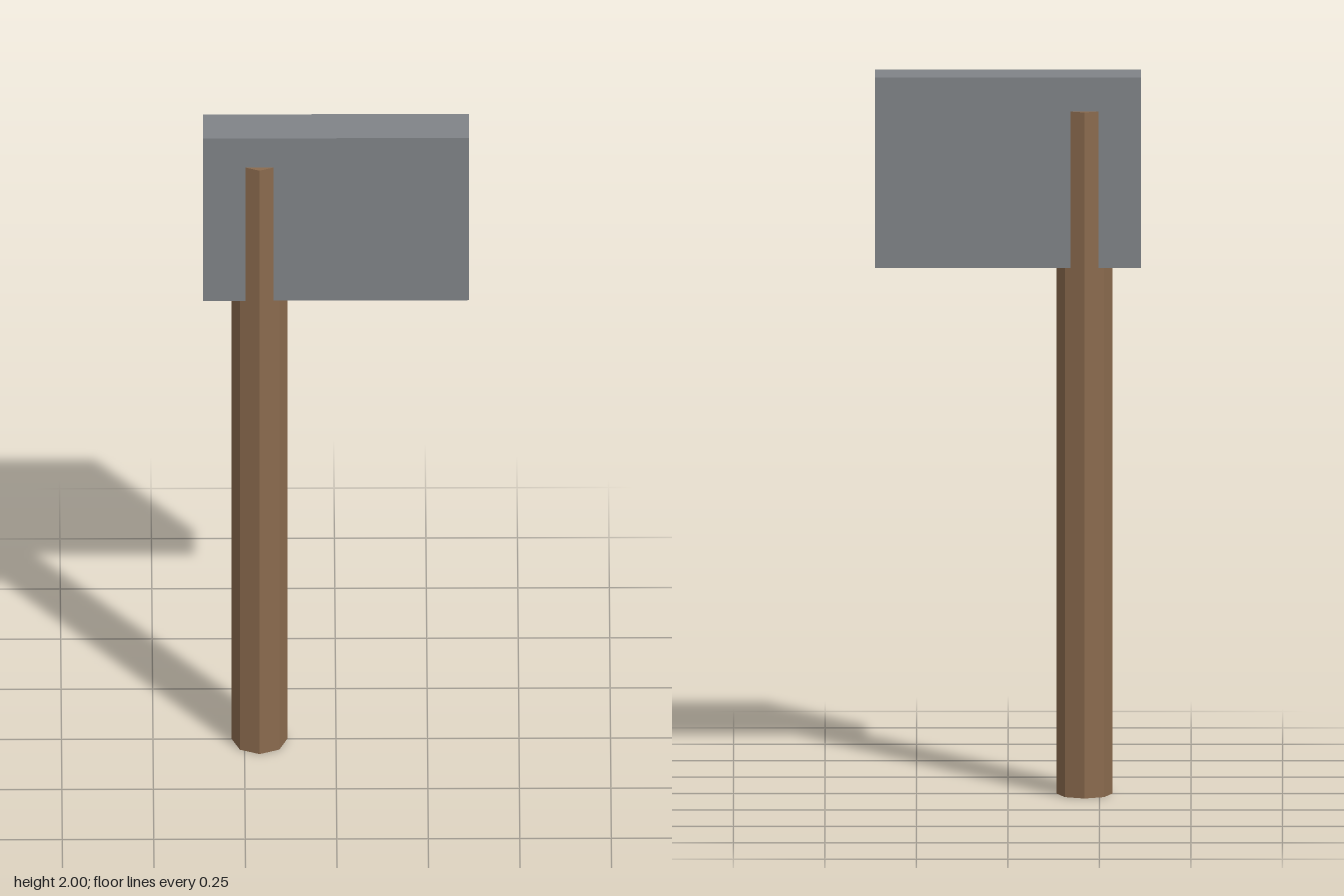
import * as THREE from 'three';

export function createModel() {
  const group = new THREE.Group();

  const addPart = (name, geometry, color, x, y) => {
    const material = new THREE.MeshStandardMaterial({ color, flatShading: true });
    const mesh = new THREE.Mesh(geometry, material);
    mesh.name = name;
    mesh.position.set(x, y, 0);
    group.add(mesh);
  };

  // Octagonal shaft, running up through the head with a corner facing front
  const handleHeight = 1.905;
  addPart('handle', new THREE.CylinderGeometry(0.076, 0.076, handleHeight, 8), 0x8b6b4e, -0.209, handleHeight / 2);

  // Flat slab head, offset to one side of the shaft
  const headHeight = 0.53;
  addPart('head', new THREE.BoxGeometry(0.727, headHeight, 0.12), 0x808488, 0, 2 - headHeight / 2);

  return group;
}
